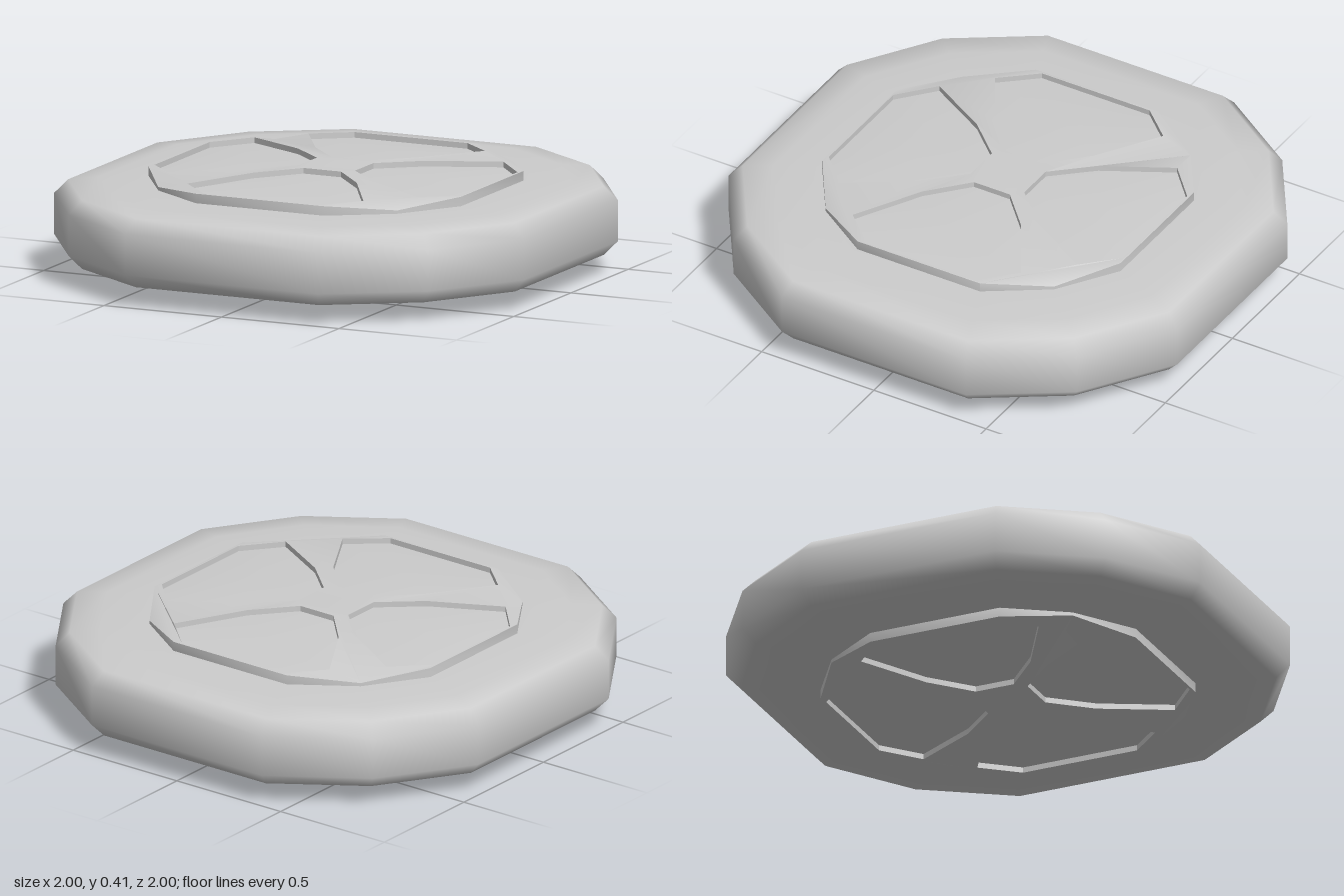
import * as THREE from 'three';
import { toCreasedNormals } from 'three/addons/utils/BufferGeometryUtils.js';

const MID = 0.21; // height of the wheel's mid plane

// Twelve-sided outline shared by tyre and hub
const OUTLINE = [];
for (let q = 0; q < 4; q++) {
  const c = Math.round(Math.cos(q * Math.PI / 2)), s = Math.round(Math.sin(q * Math.PI / 2));
  for (const [x, y] of [[1, -0.41], [1, 0.41], [0.765, 0.765]]) OUTLINE.push([x * c - y * s, x * s + y * c]);
}

// One recessed panel, lying along +y; the other three are turned copies
const PANEL = [[-0.24, 0.655], [-0.375, 0.53], [-0.22, 0.27], [-0.08, 0.12],
  [0.08, 0.12], [0.22, 0.27], [0.375, 0.53], [0.24, 0.655]];
const turned = (q) => PANEL.map(([x, y]) =>
  new THREE.Vector2(x, y).rotateAround(new THREE.Vector2(), q * Math.PI / 2));

// Height of the hub face above the mid plane: gently domed, dropping at the spoke ends
function faceHeight(x, z) {
  const ax = Math.abs(x), az = Math.abs(z);
  if (Math.min(ax, az) > 0.45) return 0.165;
  return 0.208 - 0.035 * Math.max(ax, az) ** 1.5;
}

// Tyre: the outline swept through a profile of [scale, height]
function tyreGeometry() {
  const top = [[0.64, 0.152], [0.7, 0.152], [0.84, 0.146], [0.95, 0.134], [1, 0.08]];
  const profile = [...top, ...top.slice().reverse().map(([s, y]) => [s, -y])];
  const pos = [], index = [], n = OUTLINE.length;
  for (const [s, y] of profile) for (const [x, z] of OUTLINE) pos.push(x * s, MID + y, z * s);
  for (let r = 0; r < profile.length - 1; r++) for (let i = 0; i < n; i++) {
    const a = r * n + i, b = r * n + (i + 1) % n;
    index.push(a, b, a + n, b, b + n, a + n);
  }
  const g = new THREE.BufferGeometry();
  g.setAttribute('position', new THREE.Float32BufferAttribute(pos, 3));
  g.setIndex(index);
  g.computeVertexNormals();
  return g;
}

// Hub face with four openings, its upper side bent to the dome
function hubGeometry() {
  const shape = new THREE.Shape(OUTLINE.map(([x, y]) => new THREE.Vector2(x * 0.665, y * 0.665)));
  for (let q = 0; q < 4; q++) shape.holes.push(new THREE.Path(turned(q)));
  const g = new THREE.ExtrudeGeometry(shape, { depth: 1, bevelEnabled: false });
  g.rotateX(-Math.PI / 2);
  const p = g.attributes.position;
  for (let i = 0; i < p.count; i++) {
    p.setY(i, p.getY(i) > 0.5 ? faceHeight(p.getX(i), p.getZ(i)) : 0.14);
  }
  return toCreasedNormals(g, 0.6);
}

// Panel floor: a shallow fan rising to its middle
function panelGeometry() {
  const pos = [0, faceHeight(0, 0.42) - 0.01, 0.42], index = [];
  PANEL.forEach(([x, z], i) => {
    pos.push(x, faceHeight(x, z) - 0.022, z);
    index.push(0, i + 1, (i + 1) % PANEL.length + 1);
  });
  const g = new THREE.BufferGeometry();
  g.setAttribute('position', new THREE.Float32BufferAttribute(pos, 3));
  g.setIndex(index);
  g.computeVertexNormals();
  return g;
}

export function createModel() {
  const grey = new THREE.MeshStandardMaterial({ color: 0xcccccc, side: THREE.DoubleSide });
  grey.name = 'light grey';
  const model = new THREE.Group();
  model.name = 'wheel';
  const add = (parent, name, geometry) => {
    const mesh = new THREE.Mesh(geometry, grey);
    mesh.name = name;
    parent.add(mesh);
    return mesh;
  };

  add(model, 'tyre', tyreGeometry());

  // The same hub face on both sides
  const hub = hubGeometry(), panel = panelGeometry();
  for (const side of ['upper', 'lower']) {
    const face = new THREE.Group();
    face.name = side + 'HubFace';
    face.position.y = MID;
    if (side === 'lower') face.rotation.x = Math.PI;
    add(face, 'spokes', hub);
    for (let q = 0; q < 4; q++) add(face, 'panel', panel).rotation.y = q * Math.PI / 2;
    model.add(face);
  }
  return model;
}
